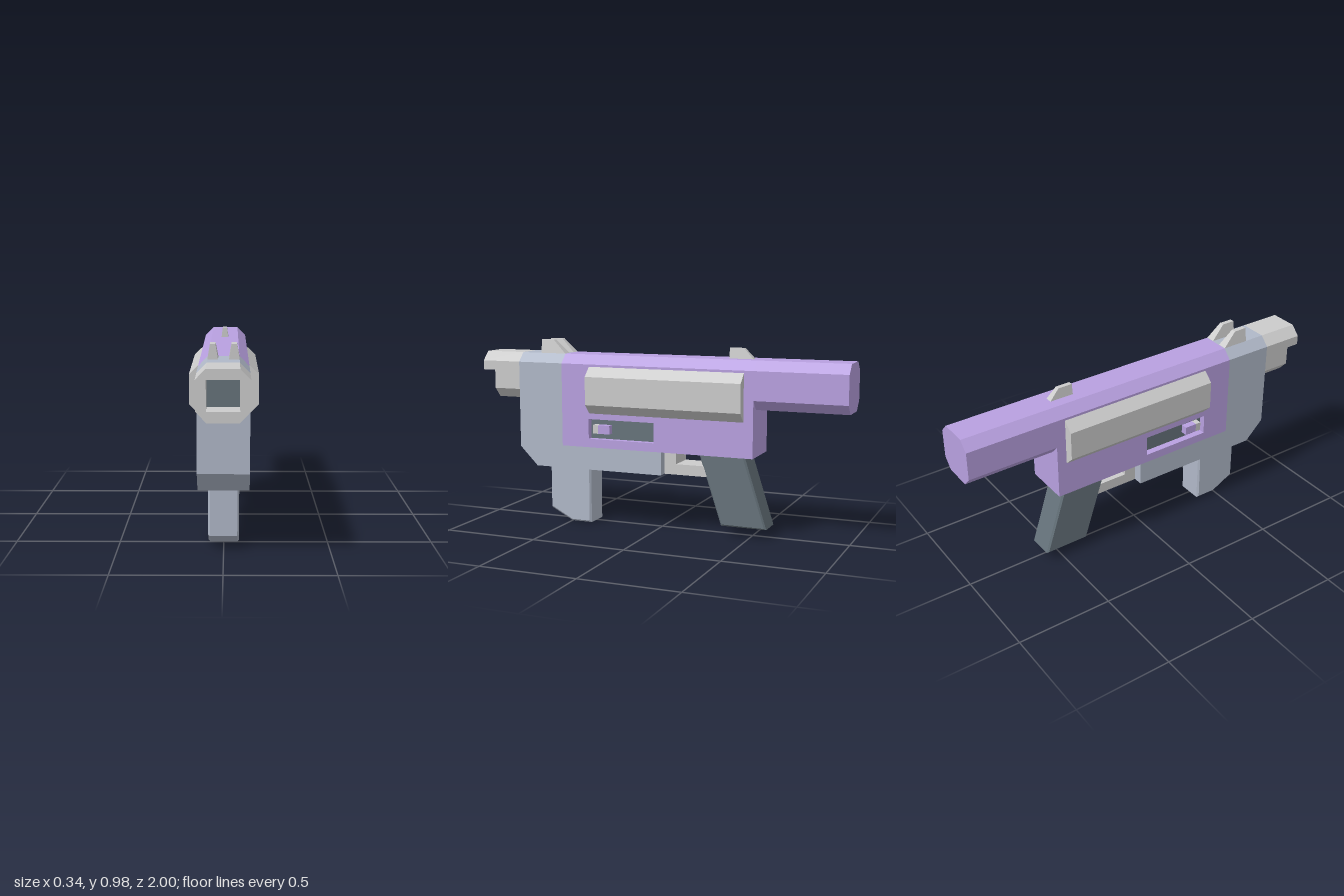
import * as THREE from 'three';

const mat = (color) => new THREE.MeshStandardMaterial({ color, flatShading: true });

export function createModel() {
  const group = new THREE.Group();
  const grey = mat(0xcccccc), steel = mat(0xb0b8c8), purple = mat(0xb8a0e0), dark = mat(0x66737b);

  const shapeOf = (pts) => new THREE.Shape(pts.map(([a, b]) => new THREE.Vector2(a, b)));
  const add = (name, geometry, material) => {
    const mesh = new THREE.Mesh(geometry, material);
    mesh.name = name;
    group.add(mesh);
    return mesh;
  };
  const box = (name, x0, x1, y0, y1, z0, z1, material) => {
    const g = new THREE.BoxGeometry(x1 - x0, y1 - y0, z1 - z0);
    g.translate((x0 + x1) / 2, (y0 + y1) / 2, (z0 + z1) / 2);
    return add(name, g, material);
  };
  // cross-section in (x, y), run along z
  const alongZ = (pts, z0, z1) => {
    const g = new THREE.ExtrudeGeometry(shapeOf(pts), { depth: z1 - z0, bevelEnabled: false });
    return g.translate(0, 0, z0);
  };
  // side profile in (z, y), run across x with small edge bevels
  const acrossX = (pts, half, bevel = 0, hole = null) => {
    const shape = shapeOf(pts);
    if (hole) shape.holes.push(new THREE.Path(hole.map(([a, b]) => new THREE.Vector2(a, b))));
    const g = new THREE.ExtrudeGeometry(shape, {
      depth: 2 * (half - bevel), bevelEnabled: bevel > 0, bevelSegments: 1,
      bevelSize: bevel, bevelThickness: bevel, bevelOffset: -bevel,
    });
    return g.translate(0, 0, bevel - half).rotateY(-Math.PI / 2);
  };

  // upper housing sections share the chamfered top
  const W = 0.12, C = 0.073, TOP = 0.905, SHOULDER = 0.857;
  const housing = (bottom) => [
    [-W, bottom], [W, bottom], [W, SHOULDER], [C, TOP], [-C, TOP], [-W, SHOULDER],
  ];
  const octagon = [
    [-C, 0.66], [C, 0.66], [W, 0.71], [W, SHOULDER], [C, TOP], [-C, TOP], [-W, SHOULDER], [-W, 0.71],
  ];
  add('rearTube', alongZ(octagon, -1, -0.53), purple);
  add('upperReceiver', alongZ(housing(0.6), -0.53, 0.525), purple);
  add('frontReceiver', alongZ(housing(0.42), 0.525, 0.78), steel);

  // lower receiver with the side slot cut through
  add('lowerReceiver', acrossX(
    [[-0.53, 0.42], [0.525, 0.42], [0.525, 0.6], [-0.53, 0.6]], W, 0,
    [[0, 0.465], [0, 0.57], [0.37, 0.57], [0.37, 0.465]]), purple);
  box('slotCore', -0.085, 0.085, 0.465, 0.57, 0, 0.37, dark);
  for (const s of [1, -1]) {
    const x0 = Math.min(s * 0.08, s * 0.121), x1 = Math.max(s * 0.08, s * 0.121);
    box('bolt', x0, x1, 0.495, 0.54, 0.25, 0.315, purple);
    box('boltCap', x0, x1, 0.495, 0.54, 0.315, 0.345, grey);
  }

  // lower body with sloped nose
  add('lowerBody', acrossX(
    [[-0.04, 0.3], [0.68, 0.3], [0.78, 0.4], [0.78, 0.42], [-0.04, 0.42]], W), steel);

  // muzzle: open bore, with the upper hood reaching further forward
  const B = 0.074;
  add('muzzleHood', alongZ([
    [-W, 0.808], [-B, 0.808], [-B, SHOULDER], [B, SHOULDER], [B, 0.808], [W, 0.808],
    [W, SHOULDER], [C, TOP], [-C, TOP], [-W, SHOULDER],
  ], 0.78, 1), grey);
  add('muzzleCradle', alongZ([
    [-W, 0.71], [-C, 0.66], [C, 0.66], [W, 0.71], [W, 0.808], [B, 0.808],
    [B, 0.71], [-B, 0.71], [-B, 0.808], [-W, 0.808],
  ], 0.78, 0.93), grey);
  box('boreBack', -B, B, 0.71, SHOULDER, 0.775, 0.8, dark);

  // side panels
  for (const s of [1, -1]) {
    const pts = [[0.11, 0.6], [W, 0.6], [0.17, 0.65], [0.17, 0.797], [W, 0.845], [0.11, 0.845]];
    add('sidePanel', alongZ(pts.map(([x, y]) => [s * x, y]), -0.48, 0.365), grey);
  }

  // magazine, grip and trigger guard
  add('magazine', acrossX(
    [[0.385, 0], [0.5, 0], [0.625, 0.065], [0.625, 0.32], [0.385, 0.32]], 0.073, 0.009), steel);
  add('grip', acrossX(
    [[-0.35, 0.052], [-0.59, 0.052], [-0.465, 0.44], [-0.222, 0.44]].reverse(), 0.073, 0.009), dark);
  add('triggerGuard', acrossX(
    [[-0.04, 0.3], [-0.04, 0.43], [-0.105, 0.43], [-0.105, 0.355], [-0.29, 0.355], [-0.29, 0.3]],
    0.07), grey);

  // sights narrow towards the top
  const sight = (name, pts, half, topScale, x) => {
    const g = acrossX(pts, half);
    const p = g.attributes.position;
    const topY = pts[1][1];
    for (let i = 0; i < p.count; i++) {
      const t = (p.getY(i) - 0.9) / (topY - 0.9);
      p.setX(i, p.getX(i) * (1 + (topScale - 1) * t));
    }
    g.computeVertexNormals();
    add(name, g, grey).position.x = x;
  };
  for (const s of [1, -1]) {
    sight('frontSight', [[0.67, 0.9], [0.67, 0.976], [0.6, 0.976], [0.522, 0.9]], 0.025, 0.5, s * 0.049);
  }
  sight('rearSight', [[-0.37, 0.9], [-0.37, 0.958], [-0.445, 0.958], [-0.5, 0.9]], 0.019, 0.6, 0);

  return group;
}
